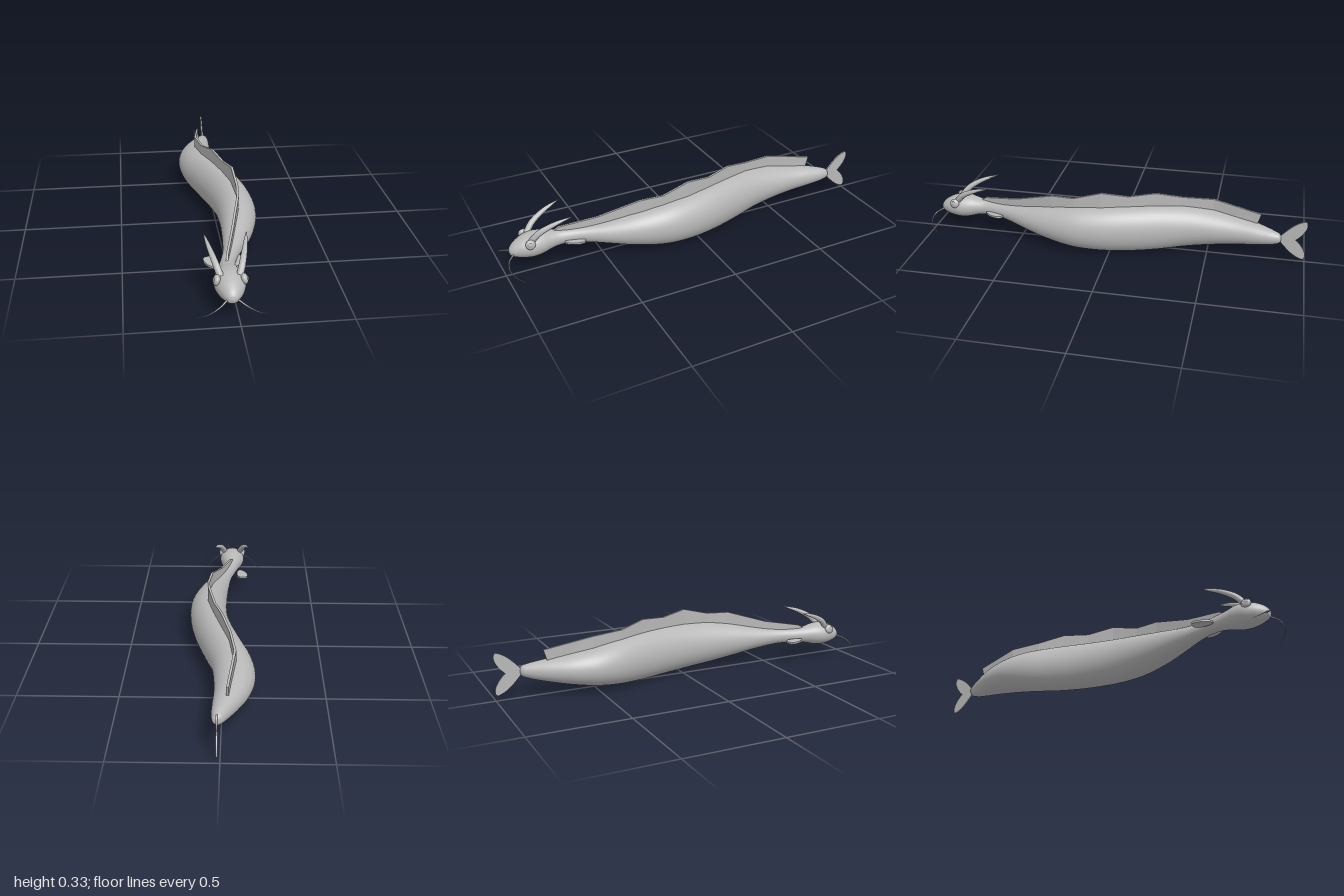
import * as THREE from 'three';
import { mergeVertices } from 'three/addons/utils/BufferGeometryUtils.js';

const V = (x, y, z) => new THREE.Vector3(x, y, z);
const HEAD_X = -0.031; // mirror plane of the head

// Move every vertex of a geometry by a rule
function reshape(geo, rule) {
  const p = geo.attributes.position;
  const v = new THREE.Vector3();
  for (let i = 0; i < p.count; i++) {
    v.fromBufferAttribute(p, i);
    rule(v, i);
    p.setXYZ(i, v.x, v.y, v.z);
  }
  return geo;
}

// Tube whose radius shrinks along the curve
function taperedTube(points, radius, shrink, segs = 28, sides = 14) {
  const curve = new THREE.CatmullRomCurve3(points);
  const geo = new THREE.TubeGeometry(curve, segs, radius, sides);
  reshape(geo, (v, i) => {
    const t = Math.floor(i / (sides + 1)) / segs;
    const c = curve.getPointAt(t);
    v.sub(c).multiplyScalar(shrink(t)).add(c);
  });
  geo.computeVertexNormals();
  return geo;
}

// Head, neck and winding body: stations of z, x, y, half width, half height
function bodyGeometry() {
  const stations = [
    [0.968, -0.031, 0.113, 0, 0], [0.962, -0.031, 0.114, 0.02, 0.018],
    [0.945, -0.031, 0.118, 0.036, 0.034], [0.905, -0.031, 0.124, 0.058, 0.052],
    [0.855, -0.031, 0.128, 0.071, 0.062], [0.805, -0.031, 0.129, 0.065, 0.059],
    [0.76, -0.03, 0.13, 0.05, 0.048], [0.71, -0.026, 0.13, 0.039, 0.04],
    [0.65, -0.012, 0.13, 0.036, 0.038], [0.58, 0.01, 0.13, 0.041, 0.042],
    [0.48, 0.04, 0.129, 0.06, 0.058], [0.36, 0.068, 0.128, 0.08, 0.083],
    [0.2, 0.088, 0.127, 0.097, 0.109], [0.05, 0.08, 0.126, 0.1, 0.12],
    [-0.1, 0.049, 0.126, 0.1, 0.124], [-0.25, 0.003, 0.126, 0.1, 0.122],
    [-0.4, -0.044, 0.127, 0.102, 0.111], [-0.52, -0.058, 0.127, 0.1, 0.096],
    [-0.64, -0.047, 0.127, 0.084, 0.076], [-0.74, -0.021, 0.128, 0.063, 0.058],
    [-0.82, 0.003, 0.129, 0.041, 0.041], [-0.86, 0.013, 0.13, 0.026, 0.028],
    [-0.871, 0.015, 0.13, 0.015, 0.016], [-0.874, 0.015, 0.13, 0, 0],
  ];
  const spine = new THREE.CatmullRomCurve3(stations.map(s => V(s[1], s[2], s[0])));
  const girth = new THREE.CatmullRomCurve3(stations.map(s => V(s[3], s[4], 0)), false, 'catmullrom', 0.5);
  const geo = new THREE.CylinderGeometry(1, 1, 1, 48, (stations.length - 1) * 5, true);
  reshape(geo, v => {
    const t = THREE.MathUtils.clamp(0.5 - v.y, 0, 1);
    const c = spine.getPoint(t), r = girth.getPoint(t);
    v.set(c.x + v.x * Math.max(r.x, 0), c.y - v.z * Math.max(r.y, 0), c.z);
  });
  geo.deleteAttribute('uv');
  geo.deleteAttribute('normal');
  const smooth = mergeVertices(geo, 1e-5);
  smooth.computeVertexNormals();
  return smooth;
}

// Jagged fin along the back: z, x, bottom y, top y
function dorsalGeometry() {
  const rows = [
    [0.74, -0.03, 0.14, 0.168], [0.71, -0.026, 0.14, 0.188], [0.52, 0.022, 0.15, 0.22],
    [0.31, 0.074, 0.19, 0.284], [0.19, 0.088, 0.21, 0.288], [0.045, 0.08, 0.22, 0.327],
    [-0.09, 0.048, 0.225, 0.306], [-0.225, 0.008, 0.222, 0.319], [-0.36, -0.036, 0.21, 0.29],
    [-0.52, -0.06, 0.19, 0.282], [-0.755, -0.028, 0.155, 0.236],
  ];
  const n = rows.length - 1;
  const geo = reshape(new THREE.BoxGeometry(0.012, 1, 1, 1, 1, n), v => {
    const [z, x, low, high] = rows[Math.round((0.5 - v.z) * n)];
    const top = v.y > 0;
    // the rear edge leans back
    const lean = z < -0.7 ? (top ? -0.01 : 0.015) : 0;
    v.set(x + v.x, top ? high : low, z + lean);
  }).toNonIndexed();
  geo.computeVertexNormals();
  return geo;
}

// Forked tail drawn in (distance backwards, height), turned into the upright plane
function tailGeometry() {
  const s = new THREE.Shape();
  s.moveTo(0.855, 0.13);
  s.bezierCurveTo(0.895, 0.175, 0.935, 0.225, 0.985, 0.237);
  s.bezierCurveTo(1.002, 0.236, 1.002, 0.205, 0.99, 0.185);
  s.quadraticCurveTo(0.975, 0.155, 0.945, 0.13);
  s.quadraticCurveTo(0.975, 0.105, 0.99, 0.075);
  s.bezierCurveTo(1.002, 0.055, 1.002, 0.024, 0.985, 0.023);
  s.bezierCurveTo(0.935, 0.035, 0.895, 0.085, 0.855, 0.13);
  const geo = new THREE.ExtrudeGeometry(s, { depth: 0.008, bevelEnabled: false, curveSegments: 10 });
  return geo.rotateY(Math.PI / 2).translate(0.01, 0, 0);
}

// Leaf-shaped side fin, lying flat, widening to the rear
function sideFinGeometry(side) {
  const s = new THREE.Shape();
  const x = d => HEAD_X + side * d;
  s.moveTo(x(0.05), -0.697);
  s.bezierCurveTo(x(0.034), -0.695, x(0.026), -0.655, x(0.034), -0.62);
  s.bezierCurveTo(x(0.04), -0.592, x(0.075), -0.588, x(0.091), -0.605);
  s.bezierCurveTo(x(0.105), -0.63, x(0.078), -0.69, x(0.05), -0.697);
  const geo = new THREE.ExtrudeGeometry(s, { depth: 0.01, bevelEnabled: false, curveSegments: 10 });
  return geo.rotateX(-Math.PI / 2).translate(0, 0.113, 0);
}

export function createModel() {
  const model = new THREE.Group();
  model.name = 'serpentFish';
  const grey = new THREE.MeshStandardMaterial({ color: 0xb8b8b8 });
  grey.name = 'plain grey';
  const add = (name, geo) => {
    const mesh = new THREE.Mesh(geo, grey);
    mesh.name = name;
    model.add(mesh);
    return mesh;
  };

  add('body', bodyGeometry());
  add('dorsalFin', dorsalGeometry());
  add('tailFin', tailGeometry());

  for (const side of [-1, 1]) {
    const label = side > 0 ? 'left' : 'right';
    const at = (d, y, z) => V(HEAD_X + side * d, y, z);

    // Swept-back horn, thick at the root
    add(label + 'Horn', taperedTube(
      [at(0.042, 0.17, 0.86), at(0.058, 0.21, 0.825), at(0.077, 0.248, 0.76), at(0.097, 0.281, 0.665)],
      0.016, t => (1 - 0.8 * t * t) * Math.sqrt(Math.max(0, 1 - t ** 12))));

    // Thin curling whisker
    add(label + 'Whisker', taperedTube(
      [at(0.024, 0.107, 0.952), at(0.06, 0.092, 0.985), at(0.1, 0.07, 0.994), at(0.135, 0.046, 0.976), at(0.16, 0.023, 0.94)],
      0.0045, t => 1 - 0.8 * t));

    // Eye with a small raised pupil
    const eye = add(label + 'Eye', new THREE.SphereGeometry(0.025, 24, 16));
    eye.scale.set(0.65, 1, 1);
    eye.position.copy(at(0.061, 0.161, 0.872));
    eye.rotation.z = side * 0.25;
    const pupil = add(label + 'Pupil', new THREE.SphereGeometry(0.012, 16, 12));
    pupil.scale.set(0.5, 1, 1);
    pupil.position.copy(at(0.073, 0.164, 0.877));

    add(label + 'SideFin', sideFinGeometry(side));
  }
  return model;
}
